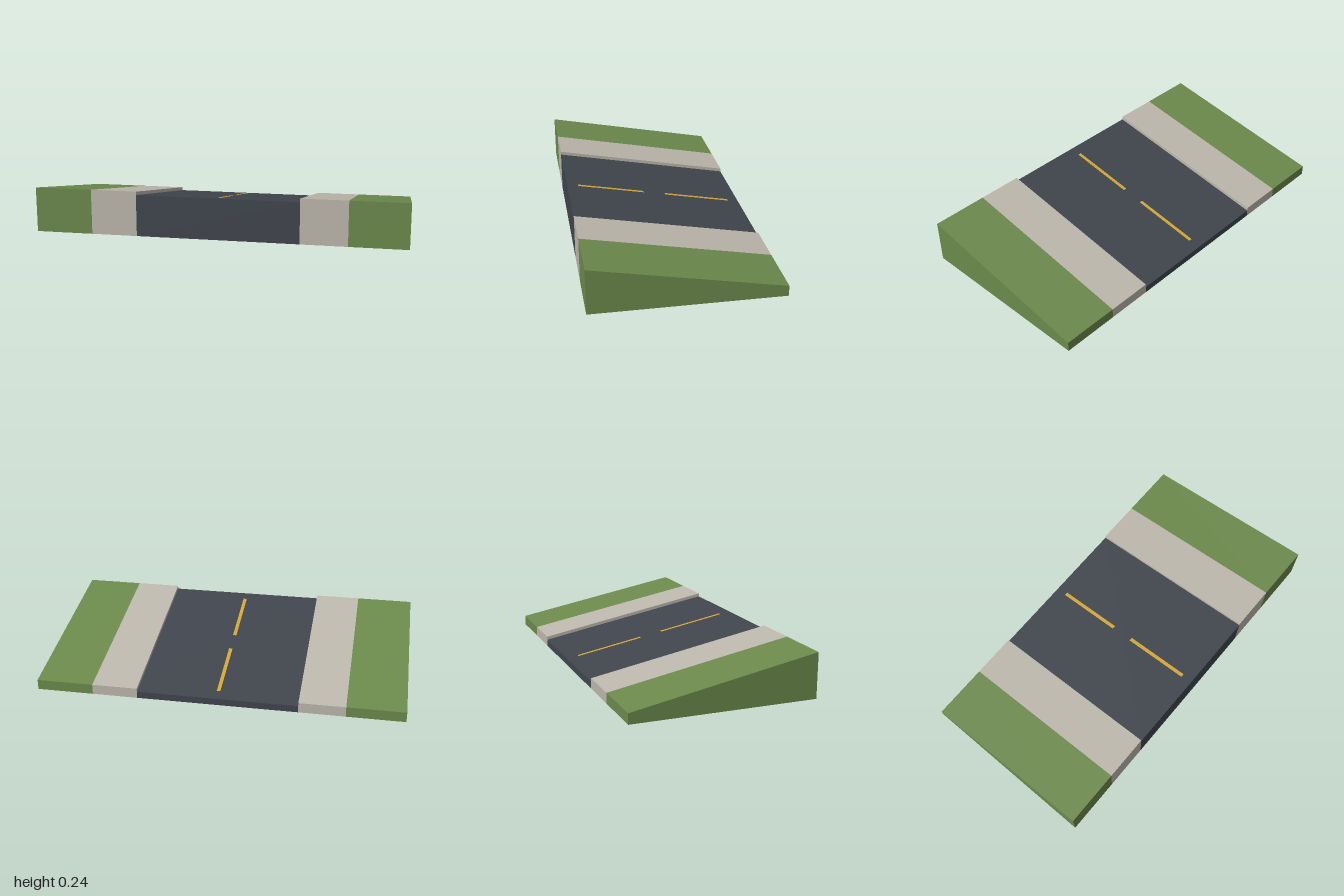
import * as THREE from 'three';

function material(name, color) {
  const m = new THREE.MeshStandardMaterial({ color, side: THREE.DoubleSide });
  m.name = name;
  return m;
}

// Flat panels, each given as four corners anticlockwise from outside
function panels(name, mat, quads) {
  const pos = quads.flatMap(([a, b, c, d]) => [a, b, c, a, c, d].flat());
  const geo = new THREE.BufferGeometry();
  geo.setAttribute('position', new THREE.Float32BufferAttribute(pos, 3));
  geo.computeVertexNormals();
  const mesh = new THREE.Mesh(geo, mat);
  mesh.name = name;
  return mesh;
}

const Z = 0.5;
const KERB = 0.4375;
const VERGE = 0.6875;
const ROAD_MID = 0.13125;
const WALK_MID = 0.15;
const slopeY = (mid, z) => mid + 0.1875 * z;

const slopeTop = (x0, x1, z0, z1, mid) => [
  [x0, slopeY(mid, z1), z1], [x1, slopeY(mid, z1), z1],
  [x1, slopeY(mid, z0), z0], [x0, slopeY(mid, z0), z0],
];

// Sloping top with upright front and back ends, open underneath
function strip(x0, x1, mid) {
  const f = slopeY(mid, Z), b = slopeY(mid, -Z);
  return [
    slopeTop(x0, x1, -Z, Z, mid),
    [[x0, 0, Z], [x1, 0, Z], [x1, f, Z], [x0, f, Z]],
    [[x1, 0, -Z], [x0, 0, -Z], [x0, b, -Z], [x1, b, -Z]],
  ];
}

// Upright side wall at x, facing +x (dir 1) or -x (dir -1)
function wall(x, mid, dir) {
  const a = Z * dir;
  return [[x, 0, a], [x, 0, -a], [x, slopeY(mid, -a), -a], [x, slopeY(mid, a), a]];
}

export function createModel() {
  const model = new THREE.Group();
  model.name = 'roadRamp';
  const grass = material('grass green', 0x6c8a4c);
  const paving = material('paving beige', 0xbdb8ad);
  const asphalt = material('asphalt grey', 0x40454d);
  const paint = material('line yellow', 0xd4a636);

  // Carriageway
  model.add(panels('road', asphalt, strip(-KERB, KERB, ROAD_MID)));

  // Pavement with kerb wall, and grass verge, on both sides
  for (const s of [-1, 1]) {
    const side = s > 0 ? 'left' : 'right';
    const span = (a, b) => (s > 0 ? [a, b] : [-b, -a]);
    model.add(panels(side + 'Pavement', paving,
      [...strip(...span(KERB, VERGE), WALK_MID), wall(s * KERB, WALK_MID, -s)]));
    model.add(panels(side + 'Verge', grass,
      [...strip(...span(VERGE, 1), WALK_MID), wall(s, WALK_MID, s)]));
  }

  // Dashed centre line
  for (const z of [-0.25, 0.25]) {
    model.add(panels(z > 0 ? 'frontDash' : 'backDash', paint,
      [slopeTop(-0.01, 0.01, z - 0.1875, z + 0.1875, ROAD_MID + 0.002)]));
  }
  return model;
}
